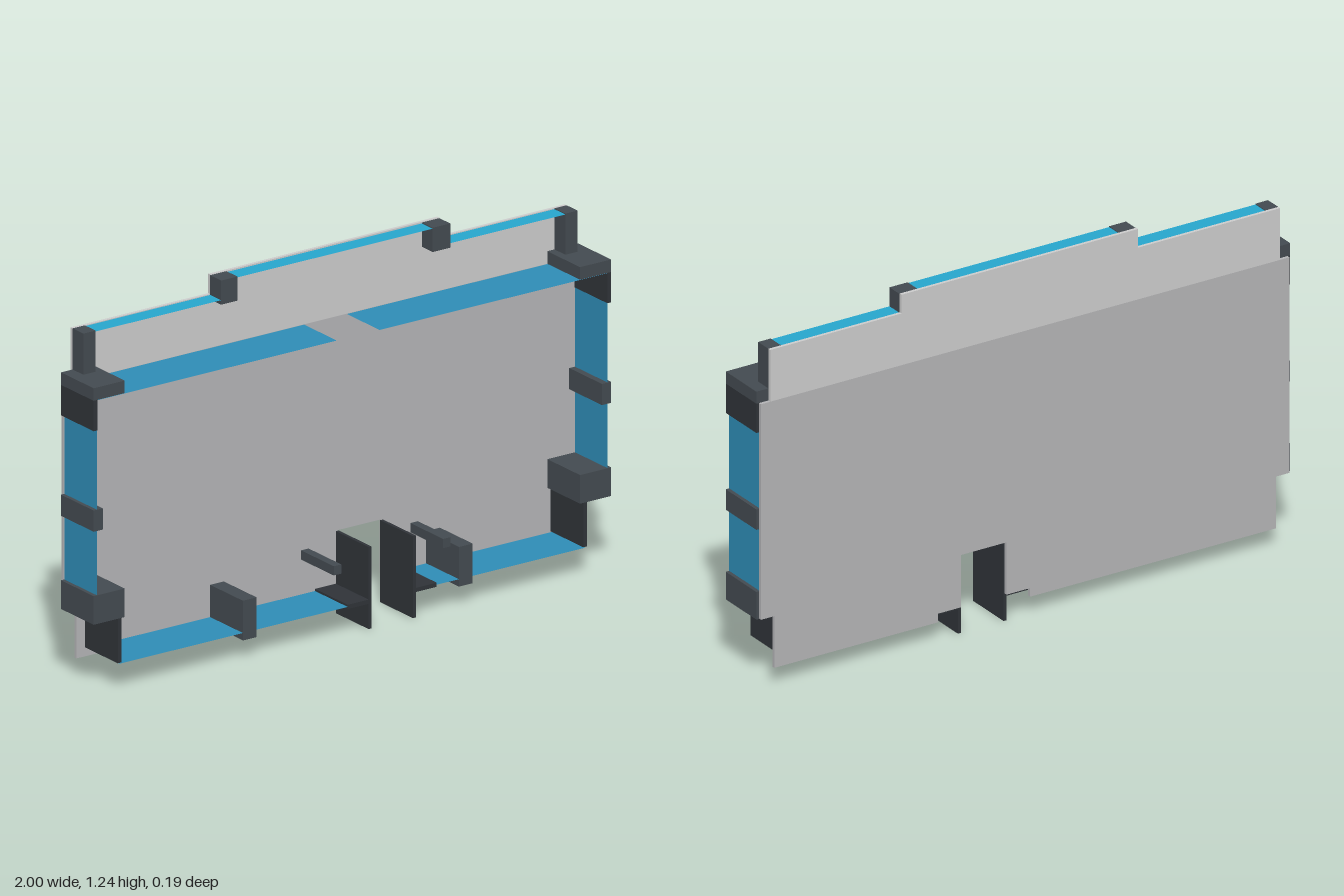
import * as THREE from 'three';

const mat = (color, side = THREE.FrontSide) => new THREE.MeshStandardMaterial({ color, side });
const BACK = -0.093, PANEL = -0.082, FRONT = 0.095, UPPER_FRONT = -0.023;

export function createModel() {
  const group = new THREE.Group();
  const lightGrey = mat(0xcccccc), grey = mat(0xb3b3b5);
  const block = mat(0x434a50), plate = mat(0x2f3338);
  const blue = mat(0x2e8cb5, THREE.DoubleSide), brightBlue = mat(0x27a5cc, THREE.DoubleSide);

  const add = (name, geometry, material) => {
    const mesh = new THREE.Mesh(geometry, material);
    mesh.name = name;
    group.add(mesh);
    return mesh;
  };
  // Box given by its limits; depth runs from the back panel to zFront
  const box = (name, x0, x1, y0, y1, material, zFront = FRONT) =>
    add(name, new THREE.BoxGeometry(x1 - x0, y1 - y0, zFront - PANEL), material)
      .position.set((x0 + x1) / 2, (y0 + y1) / 2, (zFront + PANEL) / 2);
  // Thin horizontal sheet
  const shelf = (name, x0, x1, y, material, zFront = FRONT) => {
    const mesh = add(name, new THREE.PlaneGeometry(x1 - x0, zFront - PANEL), material);
    mesh.rotation.x = -Math.PI / 2;
    mesh.position.set((x0 + x1) / 2, y, (zFront + PANEL) / 2);
  };
  // Thin upright sheet facing sideways
  const wall = (name, x, y0, y1, material) => {
    const mesh = add(name, new THREE.PlaneGeometry(FRONT - PANEL, y1 - y0), material);
    mesh.rotation.y = Math.PI / 2;
    mesh.position.set(x, (y0 + y1) / 2, (FRONT + PANEL) / 2);
  };
  const panel = (name, points, material) => {
    const shape = new THREE.Shape(points.map(([x, y]) => new THREE.Vector2(x, y)));
    add(name, new THREE.ExtrudeGeometry(shape, { depth: PANEL - BACK, bevelEnabled: false }), material)
      .position.z = BACK;
  };

  // Back panels, the lower one with a stepped notch
  panel('lowerBackPanel', [
    [-0.94, 0.065], [-0.018, 0.065], [-0.018, 0.095], [0.07, 0.095], [0.07, 0.277],
    [0.24, 0.277], [0.24, 0.095], [0.327, 0.095], [0.327, 0.065], [0.94, 0.065],
    [0.94, 0.245], [0.99, 0.245], [0.99, 0.995], [-0.99, 0.995], [-0.99, 0.245], [-0.94, 0.245],
  ], grey);
  panel('upperBackPanel', [
    [-0.955, 0.995], [0.955, 0.995], [0.955, 1.175], [0.463, 1.175],
    [0.463, 1.24], [-0.423, 1.24], [-0.423, 1.175], [-0.955, 1.175],
  ], lightGrey);

  // Mirrored corner blocks, side plates and side walls
  for (const s of [-1, 1]) {
    const side = s > 0 ? 'left' : 'right';
    const mirrored = (part, a, b, y0, y1, material, z) =>
      box(side + part, Math.min(s * a, s * b), Math.max(s * a, s * b), y0, y1, material, z);
    mirrored('UpperCorner', 0.88, 1, 0.995, 1.037, block);
    mirrored('UpperCornerPlate', 0.986, 1, 0.893, 0.995, plate);
    mirrored('MiddleBlock', 0.965, 1, 0.556, 0.627, block);
    mirrored('LowerCorner', 0.88, 1, 0.244, 0.34, block);
    mirrored('LowerCornerPlate', 0.893, 0.907, 0.095, 0.244, plate);
    mirrored('TopPost', 0.908, 0.955, 1.037, 1.175, block, UPPER_FRONT);
    wall(side + 'LowerWall', s * 0.987, 0.34, 0.556, blue);
    wall(side + 'UpperWall', s * 0.987, 0.627, 0.893, blue);
  }

  // Step blocks on the top edge and blocks on the bottom edge
  box('rightStepBlock', -0.423, -0.36, 1.157, 1.238, block, UPPER_FRONT);
  box('leftStepBlock', 0.395, 0.463, 1.157, 1.238, block, UPPER_FRONT);
  box('rightBottomBlock', -0.423, -0.37, 0.067, 0.2, block);
  box('leftBottomBlock', 0.412, 0.465, 0.067, 0.2, block);

  // Pegs, notch plates and ledges, laid out symmetrically about the notch
  const c = 0.154;
  for (const s of [-1, 1]) {
    const side = s > 0 ? 'left' : 'right';
    const atNotch = (part, a, b, y0, y1, material) =>
      box(side + part, c + Math.min(s * a, s * b), c + Math.max(s * a, s * b), y0, y1, material);
    atNotch('Peg', 0.197, 0.226, 0.209, 0.24, block);
    atNotch('NotchPlate', 0.08, 0.091, 0, 0.275, plate);
    atNotch('NotchLedge', 0.091, 0.172, 0.085, 0.099, plate);
  }

  // Blue sheets along the bottom, top and upper edges
  shelf('rightBottomSheet', -0.9, -0.018, 0.092, blue);
  shelf('leftBottomSheet', 0.326, 0.9, 0.092, blue);
  shelf('rightTopSheet', -0.985, -0.06, 0.994, blue);
  shelf('leftTopSheet', 0.105, 0.985, 0.994, blue);
  shelf('rightUpperSheet', -0.908, -0.423, 1.172, brightBlue, UPPER_FRONT);
  shelf('leftUpperSheet', 0.463, 0.908, 1.172, brightBlue, UPPER_FRONT);
  shelf('centreUpperSheet', -0.36, 0.395, 1.235, brightBlue, UPPER_FRONT);

  return group;
}
